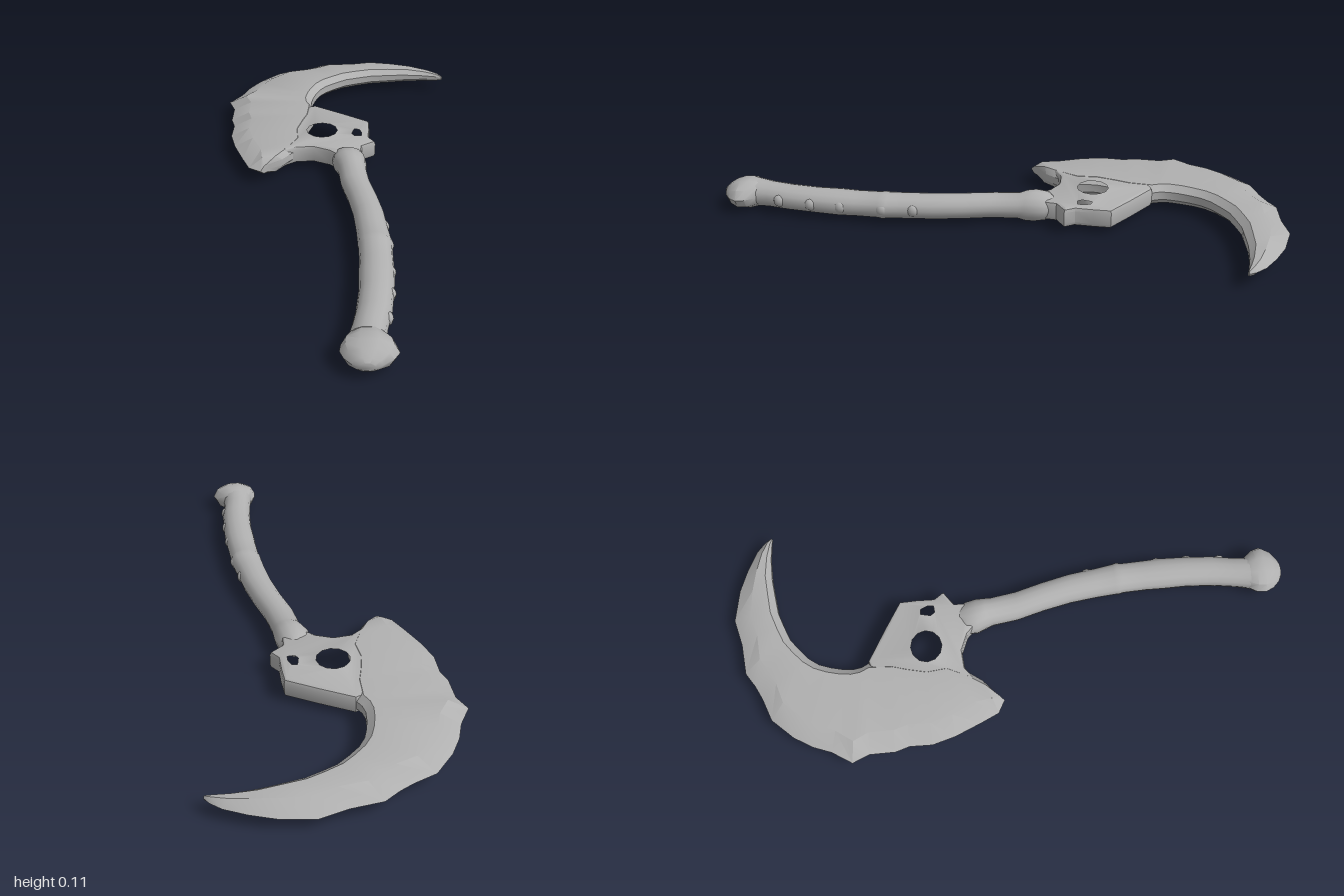
import * as THREE from 'three';
import { toCreasedNormals } from 'three/addons/utils/BufferGeometryUtils.js';

const MID = 0.058; // height of the symmetry plane

// Skins a list of closed rings (arrays of [x, y, z]) and caps both ends.
function loft(rings, crease) {
  const n = rings[0].length;
  const pos = rings.flat(2);
  let tris = [];
  for (let i = 0; i < rings.length - 1; i++) {
    for (let j = 0; j < n; j++) {
      const k = (j + 1) % n;
      const a = i * n + j, b = i * n + k, c = a + n, d = b + n;
      tris.push([a, c, b], [b, c, d]);
    }
  }
  const last = (rings.length - 1) * n;
  for (let j = 1; j < n - 1; j++) tris.push([0, j, j + 1], [last, last + j + 1, last + j]);
  // Turn the faces outward if the enclosed volume comes out negative
  const v = (i) => new THREE.Vector3().fromArray(pos, i * 3);
  const volume = tris.reduce((s, [a, b, c]) => s + v(a).dot(v(b).cross(v(c))), 0);
  if (volume < 0) tris = tris.map(([a, b, c]) => [a, c, b]);
  const geo = new THREE.BufferGeometry();
  geo.setAttribute('position', new THREE.Float32BufferAttribute(pos, 3));
  geo.setIndex(tris.flat());
  return toCreasedNormals(geo, crease);
}

// Blade stations: outer x, z, inner x, z, half thickness
const bladeStations = [
  [0.44, -0.862, 0.435, -0.857, 0.008], [0.425, -0.885, 0.405, -0.86, 0.015],
  [0.39, -0.915, 0.35, -0.863, 0.021], [0.32, -0.95, 0.27, -0.86, 0.028],
  [0.24, -0.98, 0.2, -0.85, 0.031], [0.125, -1, 0.135, -0.84, 0.033],
  [0.03, -0.975, 0.08, -0.82, 0.034], [-0.08, -0.963, 0.03, -0.8, 0.035],
  [-0.13, -0.93, -0.01, -0.77, 0.035], [-0.18, -0.905, -0.05, -0.735, 0.036],
  [-0.26, -0.875, -0.075, -0.7, 0.036], [-0.33, -0.8, -0.09, -0.66, 0.036],
  [-0.37, -0.735, -0.1, -0.62, 0.037], [-0.395, -0.67, -0.105, -0.58, 0.037],
  [-0.44, -0.6, -0.1, -0.55, 0.037], [-0.415, -0.54, -0.085, -0.52, 0.037],
  [-0.415, -0.45, -0.09, -0.44, 0.037], [-0.4, -0.4, -0.105, -0.39, 0.037],
  [-0.402, -0.32, -0.122, -0.32, 0.037], [-0.38, -0.24, -0.115, -0.25, 0.037],
  [-0.34, -0.145, -0.15, -0.18, 0.036], [-0.31, -0.08, -0.19, -0.125, 0.033],
  [-0.265, -0.055, -0.235, -0.09, 0.015],
];

// Cross-section with a sharp outer edge and a blunt inner edge
function bladeRing([ox, oz, ix, iz, h]) {
  const w = Math.hypot(ix - ox, iz - oz);
  const b = Math.min(0.07 / w, 0.4);
  const c = 1 - Math.min(0.025 / w, 0.25);
  return [[0, 0], [b, h], [c, h], [1, 0.4 * h], [1, -0.4 * h], [c, -h], [b, -h]]
    .map(([t, y]) => [ox + (ix - ox) * t, MID + y, oz + (iz - oz) * t]);
}

// Handle and pommel stations: centre x, z, half width, half height
const handleStations = [
  [0.06, -0.2, 0.025, 0.03], [0.055, -0.165, 0.06, 0.05], [0.06, -0.125, 0.063, 0.057],
  [0.067, -0.095, 0.056, 0.055], [0.072, -0.07, 0.052, 0.046], [0.085, 0.02, 0.053, 0.044],
  [0.112, 0.12, 0.053, 0.045], [0.134, 0.22, 0.054, 0.045], [0.147, 0.32, 0.055, 0.045],
  [0.155, 0.385, 0.058, 0.045], [0.157, 0.4, 0.06, 0.048], [0.157, 0.415, 0.056, 0.045],
  [0.16, 0.5, 0.056, 0.044], [0.161, 0.56, 0.058, 0.046], [0.16, 0.65, 0.056, 0.044],
  [0.153, 0.75, 0.056, 0.044], [0.14, 0.83, 0.055, 0.045], [0.132, 0.88, 0.058, 0.05],
];
const pommelStations = [
  [0.132, 0.85, 0.04, 0.038], [0.135, 0.875, 0.06, 0.048], [0.138, 0.905, 0.082, 0.055],
  [0.141, 0.935, 0.088, 0.053], [0.139, 0.965, 0.073, 0.042], [0.135, 0.99, 0.045, 0.026],
  [0.135, 1, 0.025, 0.015],
];

function ovalRing([x, z, rx, ry], sides) {
  return Array.from({ length: sides }, (_, i) => {
    const a = (i / sides) * Math.PI * 2;
    return [x + Math.cos(a) * rx, MID + Math.sin(a) * ry, z];
  });
}

// Pierced plate joining the blade to the handle
function guardGeometry() {
  const pts = (list) => list.map(([x, z]) => new THREE.Vector2(x, -z));
  const shape = new THREE.Shape(pts([
    [-0.18, -0.49], [-0.085, -0.525], [0.03, -0.46], [0.13, -0.4], [0.132, -0.34],
    [0.13, -0.275], [0.155, -0.24], [0.105, -0.205], [0.1, -0.14], [0.01, -0.14],
    [-0.015, -0.165], [-0.075, -0.19], [-0.14, -0.185], [-0.19, -0.15],
  ]));
  const round = Array.from({ length: 12 }, (_, i) => {
    const a = (i / 12) * Math.PI * 2;
    return [-0.05 + Math.cos(a) * 0.07, -0.315 + Math.sin(a) * 0.067];
  });
  shape.holes.push(new THREE.Path(pts(round)));
  shape.holes.push(new THREE.Path(pts([
    [0.065, -0.34], [0.1, -0.335], [0.113, -0.305], [0.112, -0.268], [0.07, -0.265], [0.053, -0.29],
  ])));
  const geo = new THREE.ExtrudeGeometry(shape, {
    depth: 0.042, bevelEnabled: true, bevelThickness: 0.015, bevelSize: 0.011,
    bevelOffset: -0.011, bevelSegments: 2,
  });
  geo.rotateX(-Math.PI / 2).translate(0, MID - 0.021, 0);
  return toCreasedNormals(geo, 0.7);
}

export function createModel() {
  const model = new THREE.Group();
  const grey = new THREE.MeshStandardMaterial({ color: 0xb0b0b0 });
  grey.name = 'plain grey';
  const add = (name, geo) => {
    const mesh = new THREE.Mesh(geo, grey);
    mesh.name = name;
    model.add(mesh);
    return mesh;
  };

  add('blade', loft(bladeStations.map(bladeRing), 0.5));
  add('guard', guardGeometry());
  add('handle', loft(handleStations.map((s) => ovalRing(s, 14)), 0.8));
  add('pommel', loft(pommelStations.map((s) => ovalRing(s, 10)), 0.7));

  // Small finger ridges along the outer side of the grip
  for (const [x, z] of [[0.188, 0.29], [0.202, 0.4], [0.207, 0.55], [0.206, 0.66], [0.196, 0.78]]) {
    const ridge = add('gripRidge', new THREE.SphereGeometry(1, 8, 6));
    ridge.scale.set(0.016, 0.022, 0.022);
    ridge.position.set(x, MID, z);
  }
  return model;
}
